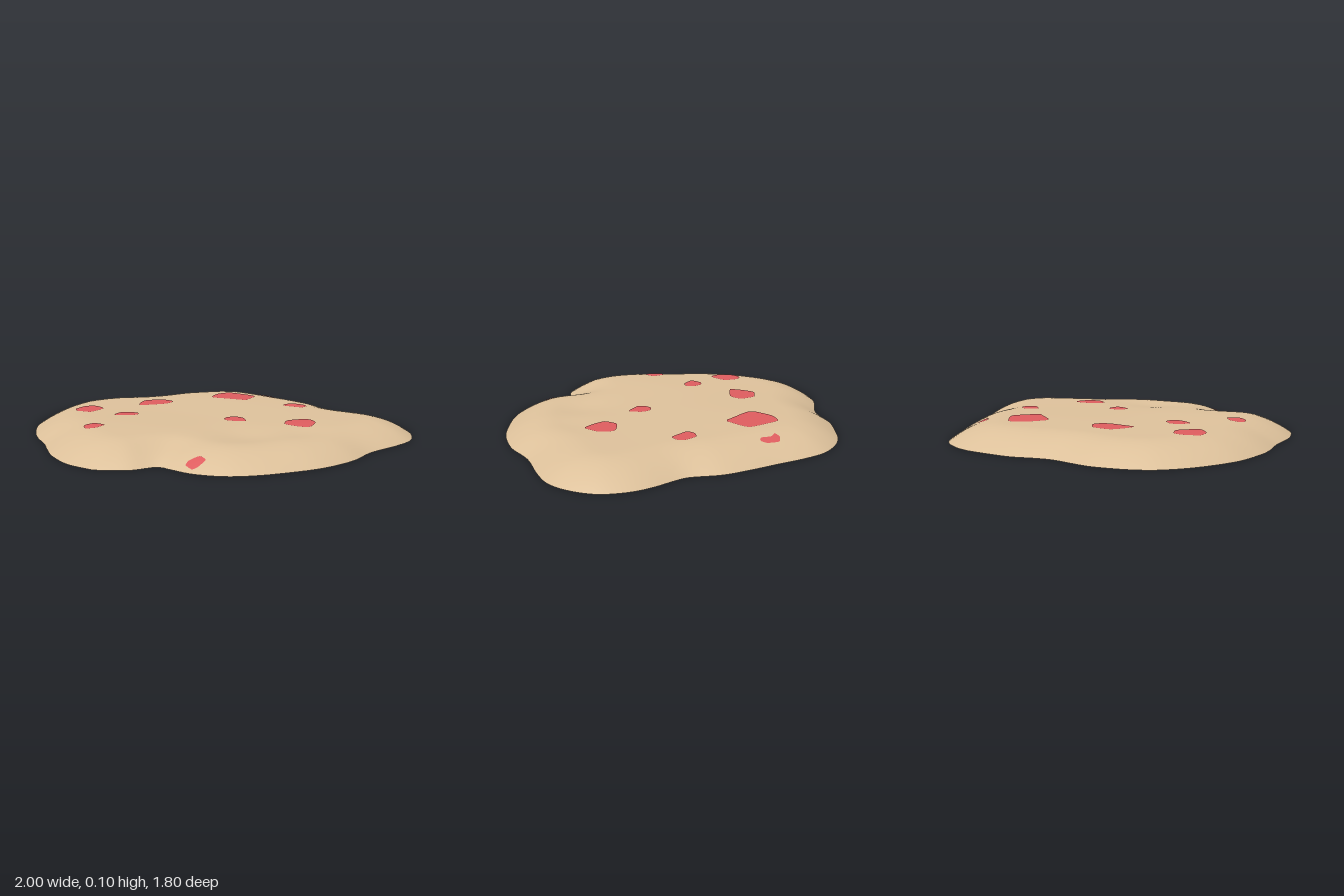
import * as THREE from 'three';

// Plan outline as x, z pairs, clockwise seen from above
const OUTLINE = [
  0.1, -0.9, 0.2, -0.895, 0.3, -0.865, 0.41, -0.8, 0.5, -0.69, 0.58, -0.56, 0.67, -0.42, 0.74, -0.29,
  0.78, -0.14, 0.83, -0.07, 0.91, 0.02, 0.97, 0.12, 1, 0.25, 0.97, 0.38, 0.9, 0.49, 0.78, 0.57,
  0.6, 0.66, 0.45, 0.78, 0.27, 0.86, 0.1, 0.89, -0.06, 0.9, -0.2, 0.88, -0.33, 0.81, -0.41, 0.72,
  -0.47, 0.66, -0.6, 0.68, -0.74, 0.64, -0.78, 0.61, -0.87, 0.5, -0.93, 0.34, -0.95, 0.2, -0.96, 0.09,
  -0.99, -0.05, -1, -0.18, -0.98, -0.38, -0.9, -0.58, -0.8, -0.72, -0.7, -0.79, -0.58, -0.83,
  -0.48, -0.845, -0.3, -0.83, -0.2, -0.85, -0.08, -0.89,
];

// Corners of each irregular spot as x, z pairs
const SPOTS = [
  [-0.77, -0.34, -0.71, -0.39, -0.65, -0.38, -0.615, -0.3, -0.65, -0.25, -0.7, -0.21, -0.765, -0.27],
  [-0.4, -0.33, -0.39, -0.4, -0.35, -0.47, -0.25, -0.47, -0.2, -0.41, -0.2, -0.37, -0.25, -0.33],
  [0.06, -0.46, 0.12, -0.55, 0.2, -0.58, 0.25, -0.53, 0.325, -0.42, 0.235, -0.305, 0.2, -0.325, 0.07, -0.42],
  [0.375, -0.55, 0.4, -0.575, 0.44, -0.57, 0.47, -0.51, 0.465, -0.475, 0.435, -0.48, 0.41, -0.53],
  [0.405, -0.11, 0.43, -0.15, 0.48, -0.16, 0.53, -0.11, 0.53, -0.065, 0.49, -0.04],
  [-0.58, -0.09, -0.54, -0.15, -0.49, -0.15, -0.445, -0.11, -0.45, -0.06, -0.5, -0.05],
  [-0.76, 0.14, -0.75, 0.105, -0.7, 0.1, -0.655, 0.16, -0.7, 0.21, -0.75, 0.19],
  [-0.02, 0.15, 0.01, 0.11, 0.06, 0.11, 0.09, 0.15, 0.085, 0.22, 0.055, 0.22, -0.01, 0.19],
  [0.26, 0.33, 0.3, 0.26, 0.4, 0.25, 0.43, 0.28, 0.43, 0.34, 0.38, 0.41, 0.35, 0.415, 0.3, 0.38],
  [-0.35, 0.74, -0.33, 0.72, -0.28, 0.72, -0.26, 0.76, -0.3, 0.785, -0.33, 0.785],
];

// Smooth closed loop through x, z pairs
function loop(pairs, samples, tension) {
  const pts = [];
  for (let i = 0; i < pairs.length; i += 2) pts.push(new THREE.Vector3(pairs[i], 0, pairs[i + 1]));
  return new THREE.CatmullRomCurve3(pts, true, 'catmullrom', tension).getSpacedPoints(samples).slice(0, -1);
}

const rim = loop(OUTLINE, 200, 0.5);

// Gentle rises and hollows on the top: x, z, height, radius
const SWELLS = [
  [-0.5, 0.2, 0.01, 0.3], [0.1, -0.35, 0.008, 0.35], [0, 0.5, -0.016, 0.16],
  [-0.4, 0.56, -0.018, 0.12], [0.3, 0.52, -0.01, 0.14],
];

// Shortest distance from a point to the rim
function rimDistance(x, z) {
  let best = Infinity;
  rim.forEach((a, i) => {
    const b = rim[(i + 1) % rim.length];
    const dx = b.x - a.x, dz = b.z - a.z;
    const t = THREE.MathUtils.clamp(((x - a.x) * dx + (z - a.z) * dz) / (dx * dx + dz * dz), 0, 1);
    best = Math.min(best, Math.hypot(x - a.x - dx * t, z - a.z - dz * t));
  });
  return best;
}

// Rounded shoulder rising from the rim to a nearly flat top
function heightAt(x, z) {
  const slope = 1 - (1 - Math.min(rimDistance(x, z) / 0.27, 1)) ** 2;
  let top = 0.091;
  for (const [sx, sz, h, r] of SWELLS) top += h * Math.exp(-((x - sx) ** 2 + (z - sz) ** 2) / (r * r));
  return top * slope;
}

// Disc of concentric rings inside an edge loop, draped over the height rule
function drapedDisc(edge, rings, lift) {
  const n = edge.length;
  const centre = new THREE.Vector3();
  edge.forEach((p) => centre.addScaledVector(p, 1 / n));
  const pos = [centre.x, heightAt(centre.x, centre.z) + lift, centre.z];
  const index = [];
  for (let k = 1; k <= rings; k++) {
    const s = 1 - (1 - k / rings) ** 1.3;
    edge.forEach((p, i) => {
      const x = THREE.MathUtils.lerp(centre.x, p.x, s), z = THREE.MathUtils.lerp(centre.z, p.z, s);
      pos.push(x, heightAt(x, z) + lift, z);
      const a = 1 + (k - 1) * n + i, b = 1 + (k - 1) * n + (i + 1) % n;
      if (k === 1) index.push(0, b, a);
      else index.push(a - n, b, a, a - n, b - n, b);
    });
  }
  const geo = new THREE.BufferGeometry();
  geo.setAttribute('position', new THREE.Float32BufferAttribute(pos, 3));
  geo.setIndex(index);
  geo.computeVertexNormals();
  return geo;
}

export function createModel() {
  const group = new THREE.Group();
  group.name = 'spottedSlab';
  const tan = new THREE.MeshStandardMaterial({ color: 0xdcc09a, side: THREE.DoubleSide });
  tan.name = 'tan';
  const red = new THREE.MeshStandardMaterial({ color: 0xdd5c5e, side: THREE.DoubleSide });
  red.name = 'red';

  // Thin domed shell, open underneath
  const shell = new THREE.Mesh(drapedDisc(rim, 40, 0), tan);
  shell.name = 'shell';
  group.add(shell);

  // Spots show on both the outside and the inside of the shell
  SPOTS.forEach((pairs, i) => {
    const spot = new THREE.Group();
    spot.name = `spot${i + 1}`;
    const edge = loop(pairs, 28, 0.25);
    for (const [name, lift] of [['outerFace', 0.003], ['innerFace', -0.003]]) {
      const face = new THREE.Mesh(drapedDisc(edge, 4, lift), red);
      face.name = name;
      spot.add(face);
    }
    group.add(spot);
  });
  return group;
}
